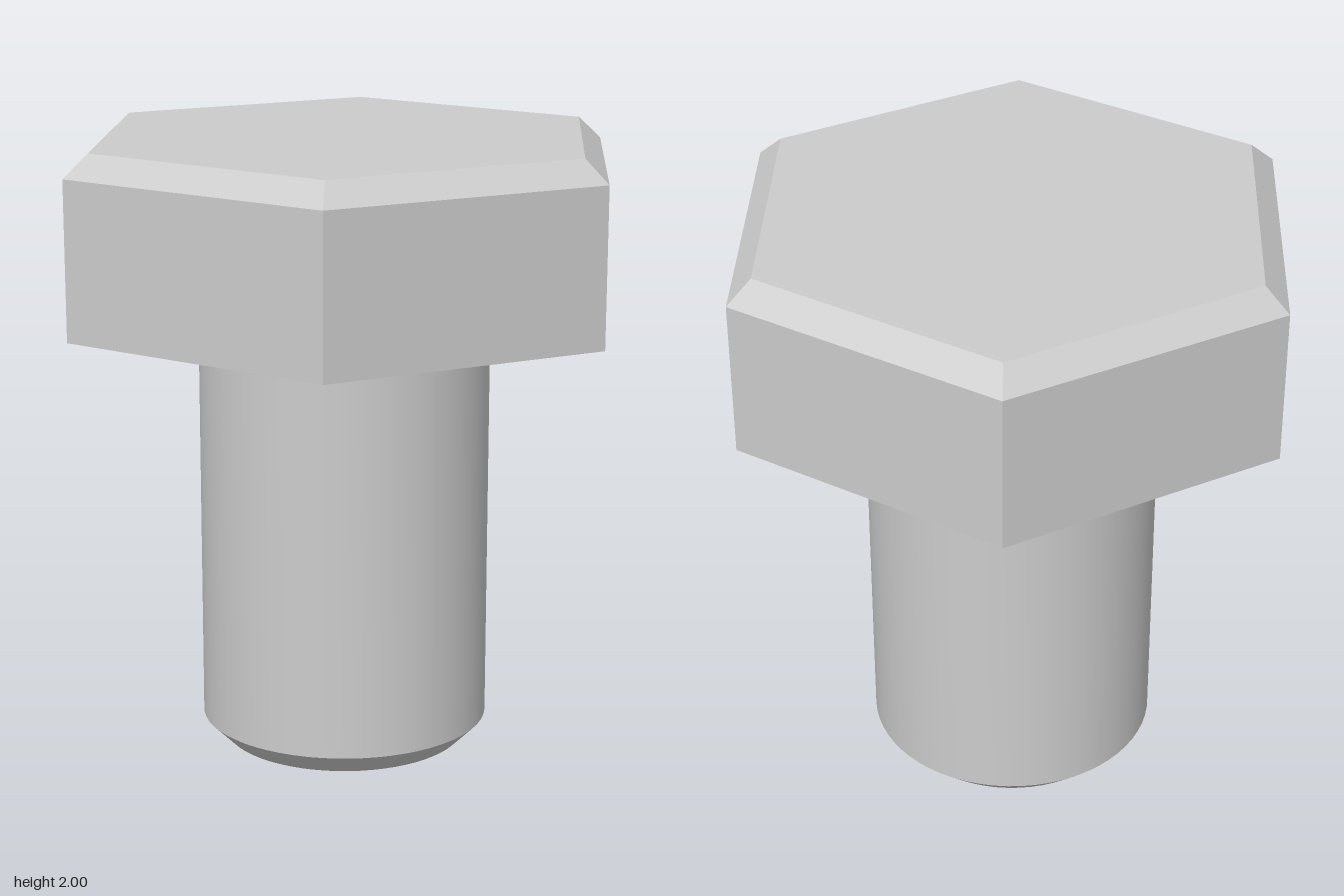
import * as THREE from 'three';
import { toCreasedNormals } from 'three/addons/utils/BufferGeometryUtils.js';

const HEAD_R = 0.949, HEAD_BOTTOM = 1.42, SHANK_R = 0.47, CHAMFER = 0.073;

// Revolve a bottom-to-top profile of [radius, y] pairs.
function revolve(profile, sides) {
  return new THREE.LatheGeometry(profile.map(([r, y]) => new THREE.Vector2(r, y)), sides);
}

function addPart(group, name, geometry, material) {
  const mesh = new THREE.Mesh(geometry, material);
  mesh.name = name;
  group.add(mesh);
  return mesh;
}

export function createModel() {
  const bolt = new THREE.Group();
  bolt.name = 'hexBolt';
  const smooth = new THREE.MeshStandardMaterial({ color: 0xcccccc });
  const faceted = new THREE.MeshStandardMaterial({ color: 0xcccccc, flatShading: true });

  // Hexagonal head with a chamfered top edge, corners towards front and back
  const head = new THREE.Group();
  head.name = 'head';
  bolt.add(head);
  addPart(head, 'headBody', revolve([
    [HEAD_R, HEAD_BOTTOM], [HEAD_R, 2 - CHAMFER], [0.865, 2], [0, 2],
  ], 6), faceted);

  // Underside of the head, open where the shank joins
  const hexagon = new THREE.Shape();
  for (let i = 0; i < 6; i++) {
    const a = i * Math.PI / 3;
    const x = HEAD_R * Math.sin(a), y = HEAD_R * Math.cos(a);
    if (i === 0) hexagon.moveTo(x, y);
    else hexagon.lineTo(x, y);
  }
  hexagon.closePath();
  hexagon.holes.push(new THREE.Path().absarc(0, 0, SHANK_R, 0, Math.PI * 2, false));
  const underside = new THREE.ShapeGeometry(hexagon, 64);
  underside.rotateX(Math.PI / 2);
  underside.translate(0, HEAD_BOTTOM, 0);
  addPart(head, 'headUnderside', underside, faceted);

  // Plain round shank with a chamfered tip
  const shank = revolve([
    [0, 0], [SHANK_R - CHAMFER, 0], [SHANK_R, CHAMFER], [SHANK_R, HEAD_BOTTOM],
  ], 64);
  addPart(bolt, 'shank', toCreasedNormals(shank, 0.5), smooth);

  return bolt;
}
